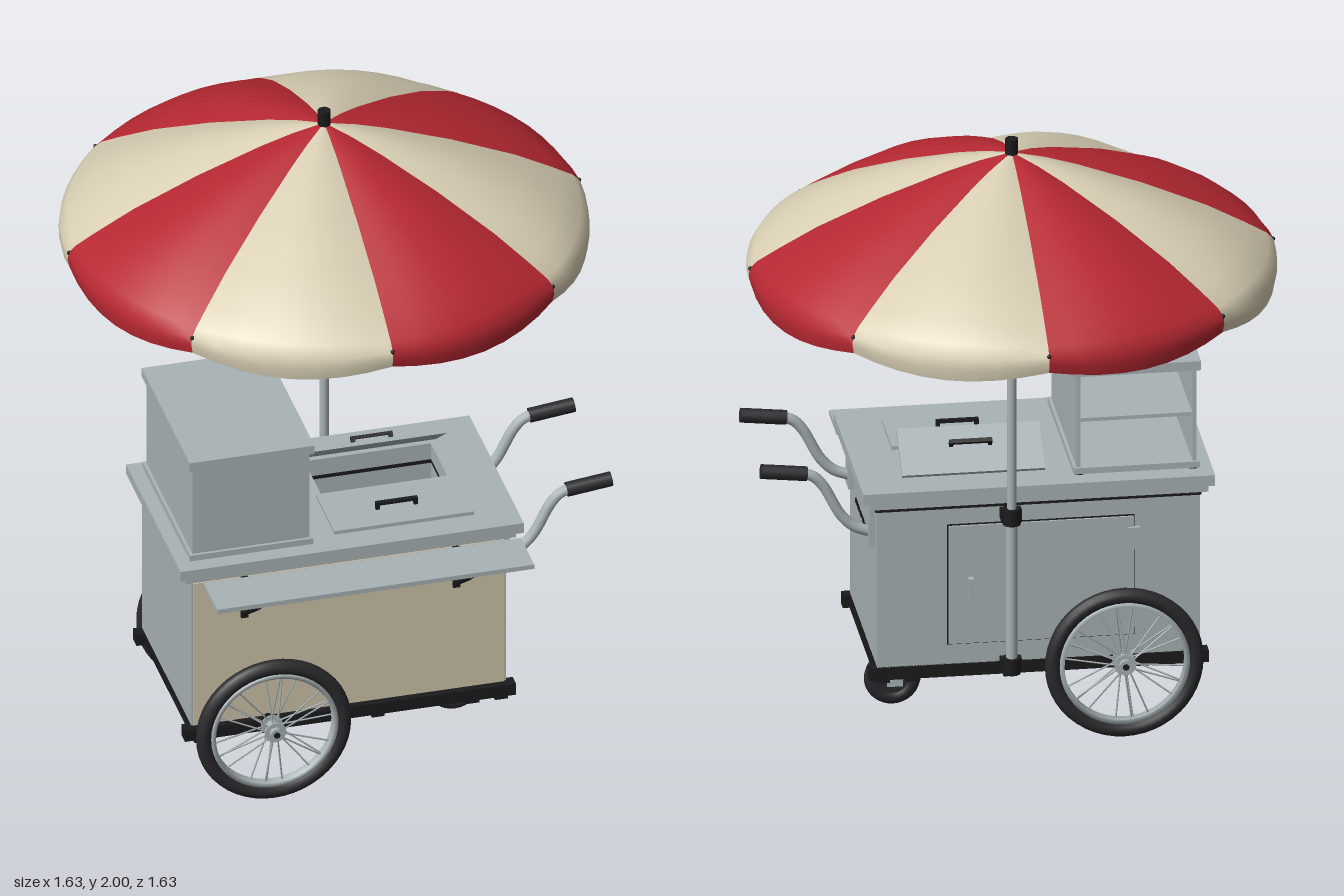
import * as THREE from 'three';

const mat = (name, color, extra = {}) => Object.assign(new THREE.MeshStandardMaterial({ color, ...extra }), { name });

export function createModel() {
  const root = new THREE.Group();
  root.name = 'vendingCart';
  const steel = mat('steel', 0xa9b3b5);
  const black = mat('blackMetal', 0x1b1b1d);
  const rubber = mat('rubber', 0x2a2a2d);
  const cream = mat('creamPanel', 0xcfc5aa);
  const fabricCream = mat('creamFabric', 0xd8ceb4, { side: THREE.DoubleSide });
  const fabricRed = mat('redFabric', 0xb72832, { side: THREE.DoubleSide });

  const V = (x, y, z) => new THREE.Vector3(x, y, z);
  const add = (name, geo, material, parent = root) => {
    const m = new THREE.Mesh(geo, material);
    m.name = name;
    parent.add(m);
    return m;
  };
  const group = (name, parent = root) => {
    const g = new THREE.Group();
    g.name = name;
    parent.add(g);
    return g;
  };
  const box = (name, m, x0, x1, y0, y1, z0, z1, parent) => {
    const b = add(name, new THREE.BoxGeometry(x1 - x0, y1 - y0, z1 - z0), m, parent);
    b.position.set((x0 + x1) / 2, (y0 + y1) / 2, (z0 + z1) / 2);
    return b;
  };
  const rod = (name, m, a, b, r, parent, sides = 10) => {
    const d = b.clone().sub(a);
    const c = add(name, new THREE.CylinderGeometry(r, r, d.length(), sides), m, parent);
    c.position.copy(a).addScaledVector(d, 0.5);
    c.quaternion.setFromUnitVectors(V(0, 1, 0), d.normalize());
    return c;
  };
  // Horizontal slab with a rectangular opening
  const rect = (C, x0, x1, z0, z1) => new C([[x0, z0], [x1, z0], [x1, z1], [x0, z1]].map(p => new THREE.Vector2(...p)));
  const WELL = [-0.1, 0.3, 0.14, 0.55];
  const holed = (name, m, x0, x1, y0, y1, z0, z1) => {
    const s = rect(THREE.Shape, x0, x1, z0, z1);
    s.holes.push(rect(THREE.Path, ...WELL));
    const g = new THREE.ExtrudeGeometry(s, { depth: y1 - y0, bevelEnabled: false });
    g.rotateX(Math.PI / 2);
    add(name, g, m).position.y = y1;
  };

  // Body, counter and sunken well
  holed('body', steel, -0.585, 0.41, 0.25, 0.765, 0.035, 0.615);
  box('wellFloor', steel, -0.1, 0.3, 0.56, 0.58, 0.14, 0.55);
  box('frontPanel', cream, -0.58, 0.403, 0.252, 0.762, 0.614, 0.62);
  holed('counterSeal', black, -0.59, 0.415, 0.765, 0.778, 0.035, 0.62);
  holed('counterLip', steel, -0.61, 0.435, 0.778, 0.8, 0.025, 0.64);
  holed('counter', steel, -0.63, 0.455, 0.8, 0.835, 0.016, 0.656);

  // Well lids: the front one closed, the rear one propped open
  const lid = (name, z, y, angle, len) => {
    const g = group(name);
    g.position.set(0.1, y, z);
    g.rotation.x = angle;
    box('lidPlate', steel, -0.22, 0.22, 0, 0.012, 0, len, g);
    for (const x of [-0.06, 0.06]) box('handlePost', black, x - 0.006, x + 0.006, 0.01, 0.03, len * 0.55, len * 0.55 + 0.014, g);
    box('handleBar', black, -0.066, 0.066, 0.026, 0.036, len * 0.55, len * 0.55 + 0.014, g);
  };
  lid('frontLid', 0.35, 0.835, 0, 0.22);
  lid('rearLid', 0.125, 0.838, -0.66, 0.165);

  // Display cabinet, open to the back
  const cab = group('cabinet');
  box('cabinetBase', steel, -0.59, -0.2, 0.845, 0.865, 0.06, 0.62, cab);
  box('cabinetFront', steel, -0.58, -0.21, 0.865, 1.175, 0.595, 0.61, cab);
  for (const x of [-0.58, -0.222]) box('cabinetSide', steel, x, x + 0.012, 0.865, 1.175, 0.07, 0.6, cab);
  box('cabinetShelf', steel, -0.57, -0.22, 1.01, 1.022, 0.08, 0.6, cab);
  box('cabinetTop', steel, -0.592, -0.198, 1.17, 1.2, 0.055, 0.622, cab);
  for (const x of [-0.57, -0.22]) for (const z of [0.09, 0.59]) box('cabinetFoot', black, x - 0.012, x + 0.012, 0.834, 0.846, z - 0.012, z + 0.012, cab);

  // Fold-out front shelf on diagonal brackets
  box('servingShelf', steel, -0.555, 0.447, 0.765, 0.78, 0.65, 0.81);
  for (const x of [-0.42, 0.25]) {
    box('shelfWallBar', black, x - 0.011, x + 0.011, 0.62, 0.765, 0.618, 0.63);
    box('shelfArm', black, x - 0.01, x + 0.01, 0.757, 0.766, 0.62, 0.8);
    rod('shelfBrace', black, V(x, 0.635, 0.626), V(x, 0.758, 0.795), 0.008);
  }

  // Chassis
  box('floorPan', black, -0.585, 0.41, 0.225, 0.252, 0.035, 0.615);
  for (const z of [0.05, 0.62]) box('sideRail', black, -0.612, 0.435, 0.21, 0.25, z - 0.02, z + 0.02);
  for (const x of [-0.56, -0.345, 0, 0.3, 0.39]) box('crossRail', black, x - 0.02, x + 0.02, 0.198, 0.235, 0.035, 0.635);

  // Side vents
  for (let i = 0; i < 6; i++) {
    const z = 0.222 + i * 0.049;
    box('vent', black, 0.408, 0.414, 0.613, 0.626, z - 0.017, z + 0.017);
  }

  // Push handles
  for (const z of [0.56, 0.12]) {
    const h = group('pushHandle');
    box('handleBracket', steel, 0.408, 0.428, 0.635, 0.755, z - 0.034, z + 0.034, h);
    const path = new THREE.CurvePath();
    const p = [V(0.42, 0.67, z), V(0.47, 0.69, z), V(0.51, 0.73, z), V(0.565, 0.83, z), V(0.595, 0.862, z), V(0.64, 0.878, z)];
    for (let i = 1; i < p.length; i++) path.add(new THREE.LineCurve3(p[i - 1], p[i]));
    add('handleTube', new THREE.TubeGeometry(new THREE.CatmullRomCurve3(p), 24, 0.017, 10), steel, h);
    rod('handleGrip', rubber, V(0.615, 0.872, z), V(0.757, 0.888, z), 0.023, h, 14);
  }

  // Back door with hinges and pull
  const door = group('backDoor');
  box('doorSeam', black, -0.384, 0.194, 0.316, 0.714, 0.032, 0.036, door);
  box('doorPanel', steel, -0.38, 0.19, 0.32, 0.71, 0.025, 0.034, door);
  for (const y of [0.38, 0.64]) box('doorHinge', steel, -0.4, -0.36, y - 0.035, y + 0.035, 0.018, 0.034, door);
  box('doorPull', steel, 0.115, 0.131, 0.475, 0.54, 0.004, 0.014, door);
  for (const y of [0.475, 0.53]) box('doorPullPost', steel, 0.115, 0.131, y, y + 0.01, 0.008, 0.03, door);

  // Spoked wheels on a shared axle
  const C = { x: -0.345, y: 0.245 };
  rod('axle', black, V(C.x, C.y, -0.03), V(C.x, C.y, 0.71), 0.015);
  for (const z of [0.69, -0.015]) {
    const w = group('wheel');
    w.position.set(C.x, C.y, z);
    add('tyre', new THREE.TorusGeometry(0.221, 0.024, 12, 48), rubber, w);
    const rim = [[0.186, -0.014], [0.201, -0.016], [0.201, 0.016], [0.186, 0.014], [0.186, -0.014]];
    add('rim', new THREE.LatheGeometry(rim.map(q => new THREE.Vector2(...q)), 48), steel, w).rotation.x = Math.PI / 2;
    rod('hub', steel, V(0, 0, -0.04), V(0, 0, 0.04), 0.02, w, 16);
    for (const s of [-0.022, 0.022]) rod('hubFlange', steel, V(0, 0, s - 0.003), V(0, 0, s + 0.003), 0.034, w, 20);
    rod('hubCap', black, V(0, 0, -0.044), V(0, 0, 0.044), 0.01, w);
    for (let i = 0; i < 24; i++) {
      const a = i * Math.PI / 12, b = a + (i % 4 < 2 ? 0.12 : -0.12), s = i % 2 ? 0.02 : -0.02;
      rod('spoke', steel, V(0.03 * Math.cos(a), 0.03 * Math.sin(a), s), V(0.19 * Math.cos(b), 0.19 * Math.sin(b), 0), 0.0028, w, 5);
    }
  }

  // Single swivel caster
  const caster = group('caster');
  caster.position.set(0.32, 0.088, 0.337);
  add('casterTyre', new THREE.TorusGeometry(0.062, 0.026, 12, 32), rubber, caster);
  rod('casterDisc', rubber, V(0, 0, -0.02), V(0, 0, 0.02), 0.06, caster, 28);
  rod('casterAxle', steel, V(0, 0, -0.052), V(0, 0, 0.052), 0.012, caster);
  for (const z of [-0.042, 0.042]) box('casterFork', steel, -0.026, 0.022, -0.015, 0.105, z - 0.004, z + 0.004, caster);
  box('casterCrown', steel, -0.035, 0.03, 0.097, 0.107, -0.046, 0.046, caster);
  rod('casterSwivel', black, V(0, 0.105, 0), V(0, 0.13, 0), 0.03, caster, 16);

  // Parasol pole with clamps
  rod('pole', steel, V(0, 0.22, 0), V(0, 1.96, 0), 0.0145, root, 16);
  rod('lowerPole', steel, V(0, 0.22, 0), V(0, 0.74, 0), 0.0175, root, 16);
  for (const y of [0.25, 0.745]) {
    rod('clampCollar', black, V(0, y - 0.026, 0), V(0, y + 0.026, 0), 0.028, root, 16);
    box('clampBlock', black, -0.032, 0.032, y - 0.018, y + 0.018, 0, 0.05);
  }
  rod('runner', black, V(0, 1.44, 0), V(0, 1.52, 0), 0.026, root, 16);
  rod('finial', black, V(0, 1.935, 0), V(0, 2, 0), 0.02, root, 16);

  // Canopy: rows are radius, height at the rib, rise at mid panel
  const rows = [[0.012, 1.952, 0], [0.1, 1.933, 0.006], [0.2, 1.903, 0.012], [0.4, 1.83, 0.024], [0.6, 1.743, 0.026],
    [0.72, 1.678, 0.018], [0.785, 1.64, 0.004], [0.808, 1.617, -0.012], [0.811, 1.592, -0.024], [0.804, 1.563, -0.032]];
  const N = 8;
  const canopy = group('canopy');
  for (let k = 0; k < 8; k++) {
    const pos = [], idx = [];
    rows.forEach(([r, y, puff], i) => {
      for (let j = 0; j <= N; j++) {
        const a = (k + j / N) * Math.PI / 4;
        pos.push(r * Math.cos(a), y + puff * Math.sin(Math.PI * j / N), r * Math.sin(a));
        if (i && j) {
          const d = i * (N + 1) + j, c = d - 1, b = d - N - 1, e = b - 1;
          idx.push(e, b, c, b, d, c);
        }
      }
    });
    const g = new THREE.BufferGeometry();
    g.setAttribute('position', new THREE.Float32BufferAttribute(pos, 3));
    g.setIndex(idx);
    g.computeVertexNormals();
    add('canopyPanel', g, k % 2 ? fabricRed : fabricCream, canopy);

    // Rib, tip and strut under each seam
    const a = k * Math.PI / 4, at = (r, y) => V(r * Math.cos(a), y, r * Math.sin(a));
    const ribCurve = new THREE.CatmullRomCurve3(rows.slice(0, 8).map(([r, y]) => at(r - 0.002, y - 0.008)));
    add('rib', new THREE.TubeGeometry(ribCurve, 16, 0.006, 6), black, canopy);
    add('ribTip', new THREE.SphereGeometry(0.007, 8, 6), black, canopy).position.copy(at(0.806, 1.617));
    rod('strut', steel, at(0.022, 1.5), at(0.44, 1.802), 0.005, canopy, 6);
  }
  return root;
}
